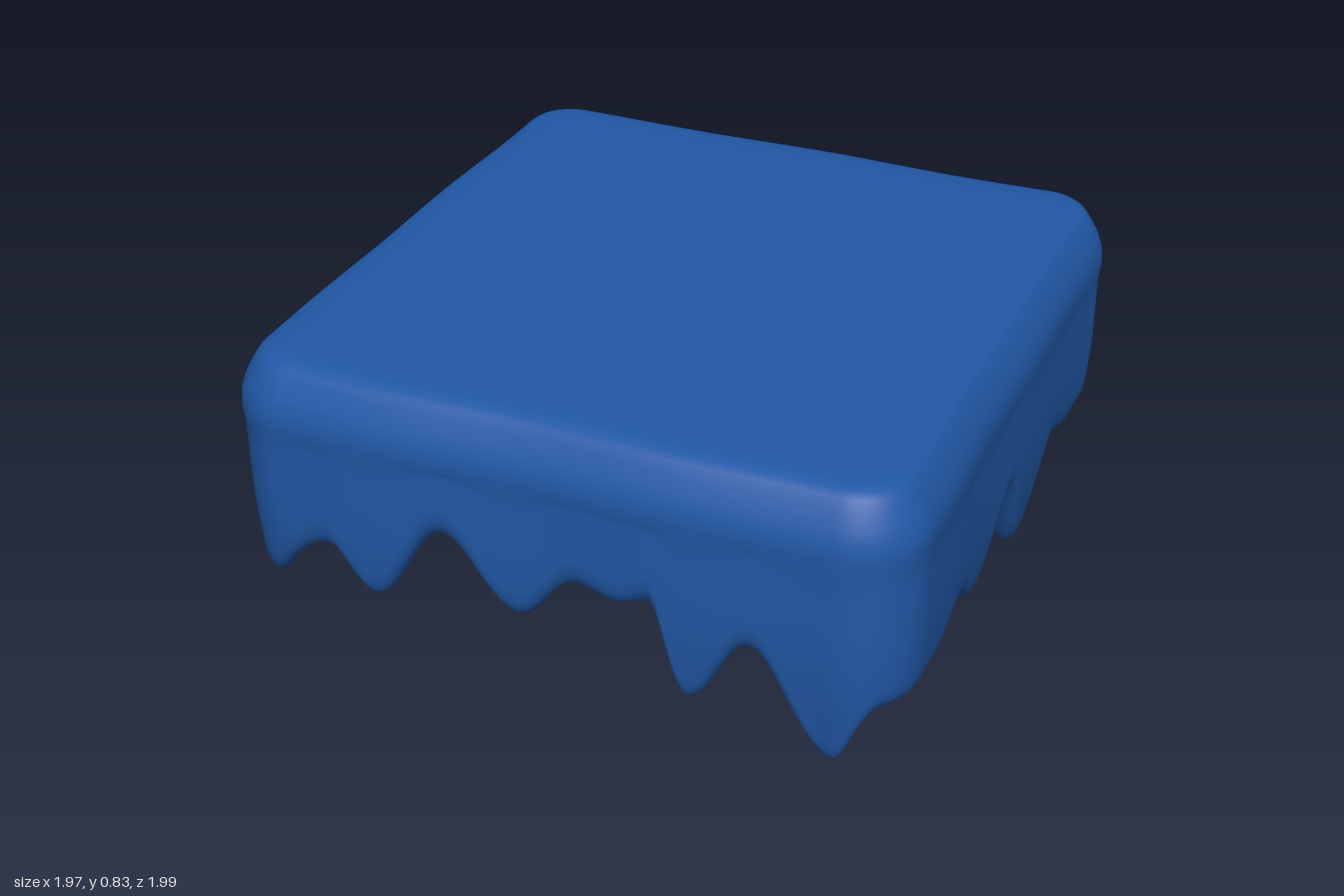
import * as THREE from 'three';

const HX = 0.98, HZ = 0.99, R = 0.2; // half sizes and corner radius of the outline

// Drip edge heights [position along wall, y]: tips and the arches between them
const FRONT_BACK = [[-0.92, 0.14], [-0.66, 0.31], [-0.53, 0.18], [-0.31, 0.435], [-0.1, 0.23], [0.08, 0.38],
  [0.19, 0.355], [0.29, 0.385], [0.385, 0.1], [0.56, 0.32], [0.785, 0.0], [0.93, 0.19]];
const LEFT = [[-0.93, 0.19], [-0.65, 0.18], [-0.45, 0.24], [-0.23, 0.01], [0, 0.33], [0.25, 0.13],
  [0.45, 0.24], [0.66, 0.18], [0.93, 0.19]];
const RIGHT = [[-0.93, 0.14], [-0.7, 0.19], [-0.45, 0.28], [-0.21, 0.03], [0.02, 0.25], [0.22, 0.2],
  [0.45, 0.27], [0.72, 0.17], [0.93, 0.14]];

// Rounded interpolation between neighbouring tips and arches
function edgeHeight(table, t) {
  if (t <= table[0][0]) return table[0][1];
  for (let i = 1; i < table.length; i++) {
    const [t1, y1] = table[i], [t0, y0] = table[i - 1];
    if (t <= t1) return y0 + (y1 - y0) * (0.5 - 0.5 * Math.cos(Math.PI * (t - t0) / (t1 - t0)));
  }
  return table[table.length - 1][1];
}

// Rounded-square outline, counter-clockwise from above: point, outward normal, drip height
function outline() {
  const columns = [];
  const add = (x, z, nx, nz) => {
    const onSide = Math.abs(nx) > Math.abs(nz);
    const h = onSide ? edgeHeight(nx > 0 ? LEFT : RIGHT, z) : edgeHeight(FRONT_BACK, x);
    columns.push({ x, z, nx, nz, h });
  };
  const corners = [[-1, 1], [1, 1], [1, -1], [-1, -1]].map(([sx, sz]) => [sx * (HX - R), sz * (HZ - R)]);
  const STRAIGHT = 90, ARC = 18;
  for (let k = 0; k < 4; k++) {
    const a = corners[k], b = corners[(k + 1) % 4];
    const ang = Math.PI / 2 * (1 - k); // wall direction
    const nx = Math.round(Math.cos(ang)), nz = Math.round(Math.sin(ang));
    for (let i = 0; i < STRAIGHT; i++) {
      const t = i / STRAIGHT;
      add(a[0] + (b[0] - a[0]) * t + nx * R, a[1] + (b[1] - a[1]) * t + nz * R, nx, nz);
    }
    for (let i = 0; i < ARC; i++) {
      const q = ang - Math.PI / 2 * i / ARC, c = Math.cos(q), s = Math.sin(q);
      add(b[0] + c * R, b[1] + s * R, c, s);
    }
  }
  return columns;
}

// Section of the shell at one column as [inset, y]: top rim, outer wall, lip, inner wall, ceiling
function section(h) {
  const lean = y => 0.008 + 0.05 * Math.pow(Math.max(0, 0.45 - y) / 0.45, 2);
  const pts = [[0.16, 0.832], [0.11, 0.83], [0.08, 0.823], [0.062, 0.81], [0.045, 0.785],
    [0.022, 0.745], [0.007, 0.705], [0.002, 0.66]];
  const lipTop = h + 0.08, WALL = 9;
  for (let i = 1; i <= WALL; i++) {
    const y = 0.66 + (lipTop - 0.66) * i / WALL;
    pts.push([lean(y), y]);
  }
  const outer = lean(lipTop), inner = outer + 0.085, mid = (outer + inner) / 2;
  for (let i = 1; i <= 8; i++) {
    const a = Math.PI * i / 8;
    pts.push([mid - 0.0425 * Math.cos(a), lipTop - 0.08 * Math.sin(a)]);
  }
  for (let i = 1; i <= 5; i++) {
    const t = i / 5;
    pts.push([inner + (0.085 - inner) * t, lipTop + (0.57 - lipTop) * t]);
  }
  pts.push([0.1, 0.62], [0.125, 0.66], [0.16, 0.682], [0.19, 0.69]);
  return pts;
}

function shellGeometry() {
  const columns = outline(), n = columns.length;
  const sections = columns.map(c => section(c.h));
  const rings = sections[0].length, positions = [], index = [];
  for (let i = 0; i < rings; i++) {
    columns.forEach((c, j) => {
      const [inset, y] = sections[j][i];
      // slight hand-poured waviness
      const d = inset + 0.006 * Math.sin(7 * c.x + 2 * c.z) * Math.cos(6 * c.z - c.x);
      positions.push(c.x - c.nx * d, y, c.z - c.nz * d);
    });
  }
  for (let i = 0; i < rings - 1; i++) {
    for (let j = 0; j < n; j++) {
      const k = (j + 1) % n, a = i * n + j, b = a + n, c = (i + 1) * n + k, d = i * n + k;
      index.push(a, b, c, a, c, d);
    }
  }
  // top and ceiling centres
  const top = rings * n, ceiling = top + 1, last = (rings - 1) * n;
  positions.push(0, 0.834, 0, 0, 0.69, 0);
  for (let j = 0; j < n; j++) {
    const k = (j + 1) % n;
    index.push(top, j, k, ceiling, last + k, last + j);
  }
  const g = new THREE.BufferGeometry();
  g.setAttribute('position', new THREE.Float32BufferAttribute(positions, 3));
  g.setIndex(index);
  g.computeVertexNormals();
  return g;
}

export function createModel() {
  const group = new THREE.Group();
  group.name = 'drippingIcing';
  const icing = new THREE.Mesh(shellGeometry(), new THREE.MeshStandardMaterial({ color: 0x2158a6 }));
  icing.name = 'icingShell';
  group.add(icing);
  return group;
}
